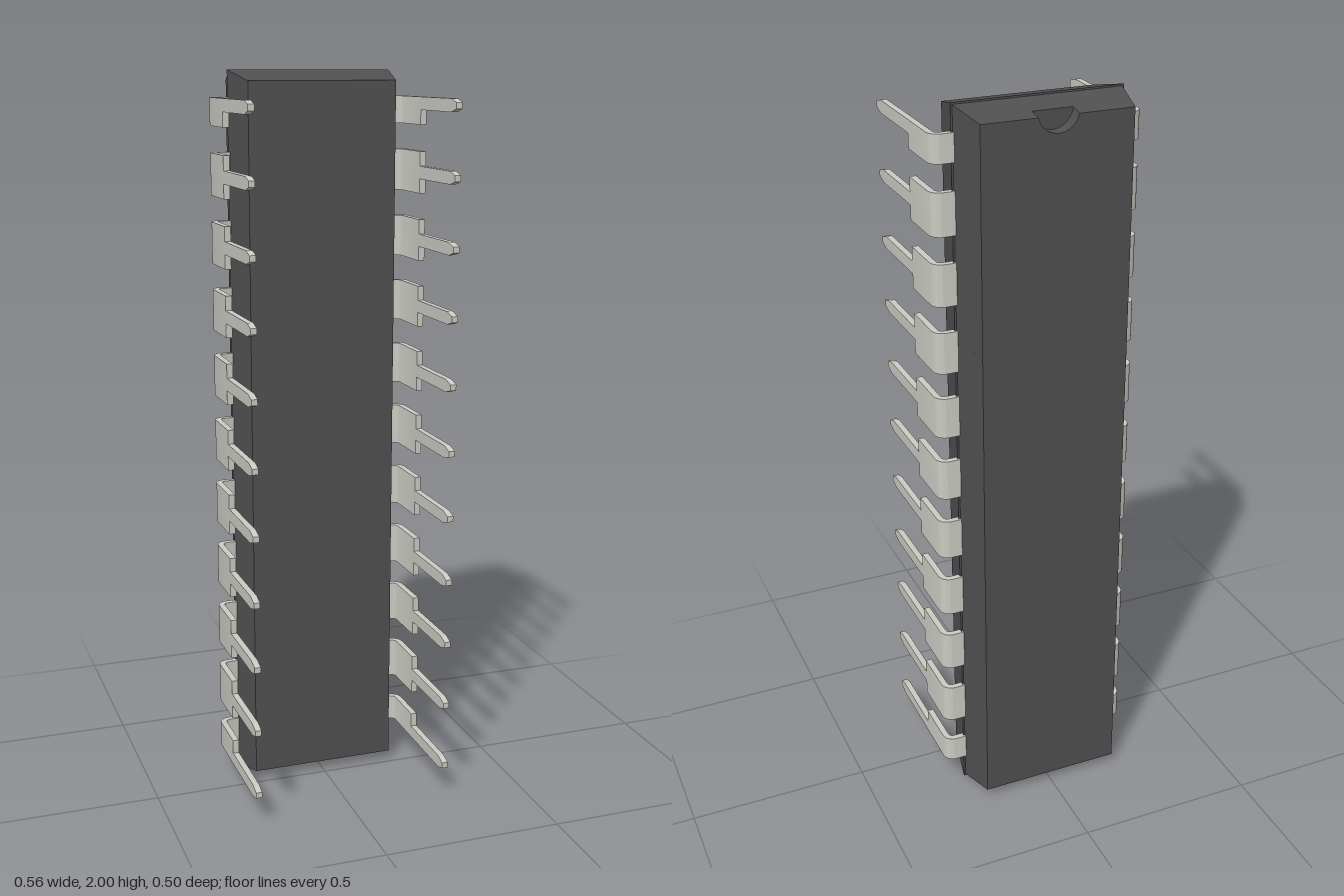
import * as THREE from 'three';
import { toCreasedNormals } from 'three/addons/utils/BufferGeometryUtils.js';

const bodyMat = new THREE.MeshStandardMaterial({ color: 0x505050 });
const pinMat = new THREE.MeshStandardMaterial({ color: 0xcbcbc3 });

const PINS = 11, PITCH = 0.182, MID_Y = 1.003;
const OUT = 0.282, THICK = 0.017, PIN_BACK = -0.141, SHOULDER = 0.015;
const BACK = -0.25, SEAM = -0.135, FRONT = -0.015, NOTCH_FLOOR = -0.213;

function mesh(name, geometry, material) {
  const m = new THREE.Mesh(geometry, material);
  m.name = name;
  return m;
}

// Joins two outlines (counter-clockwise seen from +z) into a capped solid
function loft(backPts, zBack, frontPts, zFront) {
  const n = backPts.length, index = [];
  const pos = [...backPts.map(p => [p.x, p.y, zBack]), ...frontPts.map(p => [p.x, p.y, zFront])].flat();
  for (let i = 0; i < n; i++) {
    const j = (i + 1) % n;
    index.push(i, j, n + j, i, n + j, n + i);
  }
  for (const [a, b, c] of THREE.ShapeUtils.triangulateShape(frontPts, [])) index.push(n + a, n + b, n + c);
  for (const [a, b, c] of THREE.ShapeUtils.triangulateShape(backPts, [])) index.push(c, b, a);
  const g = new THREE.BufferGeometry();
  g.setAttribute('position', new THREE.Float32BufferAttribute(pos, 3));
  g.setIndex(index);
  return toCreasedNormals(g, 0.4);
}

// Rectangular outline, optionally with a round notch in its top edge
function outline(w, h, notched = false) {
  const top = 1 + h, pts = [new THREE.Vector2(-w, 1 - h), new THREE.Vector2(w, 1 - h), new THREE.Vector2(w, top)];
  if (notched) {
    const r = 0.054, cy = 1.985, a = Math.asin((top - cy) / r), steps = 20;
    for (let i = 0; i <= steps; i++) {
      const t = a - (i / steps) * (Math.PI + 2 * a);
      pts.push(new THREE.Vector2(r * Math.cos(t), cy + r * Math.sin(t)));
    }
  }
  pts.push(new THREE.Vector2(-w, top));
  return pts;
}

// Outline of the tapered back half at depth z
function backOutline(z, notched) {
  const t = (z - BACK) / (SEAM - BACK);
  return outline(THREE.MathUtils.lerp(0.2, 0.223, t), THREE.MathUtils.lerp(0.973, 0.995, t), notched);
}

// Wide bent part of a pin, spanning y0 to y1
function shoulderGeometry(y0, y1) {
  const r = 0.03, ri = r - THICK, inX = 0.19, top = -PIN_BACK;
  const s = new THREE.Shape();
  s.moveTo(inX, top - THICK);
  s.lineTo(OUT - r, top - THICK);
  s.absarc(OUT - r, top - r, ri, Math.PI / 2, 0, true);
  s.lineTo(OUT - THICK, -SHOULDER);
  s.lineTo(OUT, -SHOULDER);
  s.lineTo(OUT, top - r);
  s.absarc(OUT - r, top - r, r, 0, Math.PI / 2, false);
  s.lineTo(inX, top);
  s.closePath();
  const g = new THREE.ExtrudeGeometry(s, { depth: y1 - y0, bevelEnabled: false, curveSegments: 8 });
  g.rotateX(-Math.PI / 2).translate(0, y0, 0);
  return toCreasedNormals(g, 0.5);
}

// Narrow leg with a tapered tip
function legGeometry() {
  const w = 0.017, t = 0.008, tipStart = 0.218, tip = 0.248;
  const s = new THREE.Shape([[-SHOULDER, -w], [-SHOULDER, w], [-tipStart, w], [-tip, t], [-tip, -t], [-tipStart, -w]]
    .map(([x, y]) => new THREE.Vector2(x, y)));
  const g = new THREE.ExtrudeGeometry(s, { depth: THICK, bevelEnabled: false });
  return g.rotateY(Math.PI / 2).translate(OUT - THICK, 0, 0);
}

// One row of pins; end pins have a shoulder only on the inner side
function pinRow(name) {
  const row = new THREE.Group();
  row.name = name;
  const half = 0.056, narrow = 0.017, last = (PINS - 1) / 2;
  const leg = legGeometry(), full = shoulderGeometry(-half, half);
  const lower = shoulderGeometry(-narrow, half), upper = shoulderGeometry(-half, narrow);
  for (let i = -last; i <= last; i++) {
    const pin = new THREE.Group();
    pin.name = 'pin';
    pin.position.y = i * PITCH;
    const shoulder = i === -last ? lower : i === last ? upper : full;
    pin.add(mesh('pinShoulder', shoulder, pinMat), mesh('pinLeg', leg, pinMat));
    row.add(pin);
  }
  row.position.y = MID_Y;
  return row;
}

export function createModel() {
  const model = new THREE.Group();
  model.name = 'chipPackage';

  // Body: front half, slightly smaller back half, and notched back layer
  model.add(
    mesh('bodyFront', loft(outline(0.228, 1), SEAM, outline(0.205, 0.973), FRONT), bodyMat),
    mesh('bodyBack', loft(backOutline(NOTCH_FLOOR), NOTCH_FLOOR, backOutline(SEAM), SEAM), bodyMat),
    mesh('notchedBack', loft(backOutline(BACK, true), BACK, backOutline(NOTCH_FLOOR, true), NOTCH_FLOOR), bodyMat)
  );

  // Pin rows: the right one is the left one turned half round
  const left = pinRow('leftPins'), right = pinRow('rightPins');
  right.rotation.z = Math.PI;
  model.add(left, right);
  return model;
}
